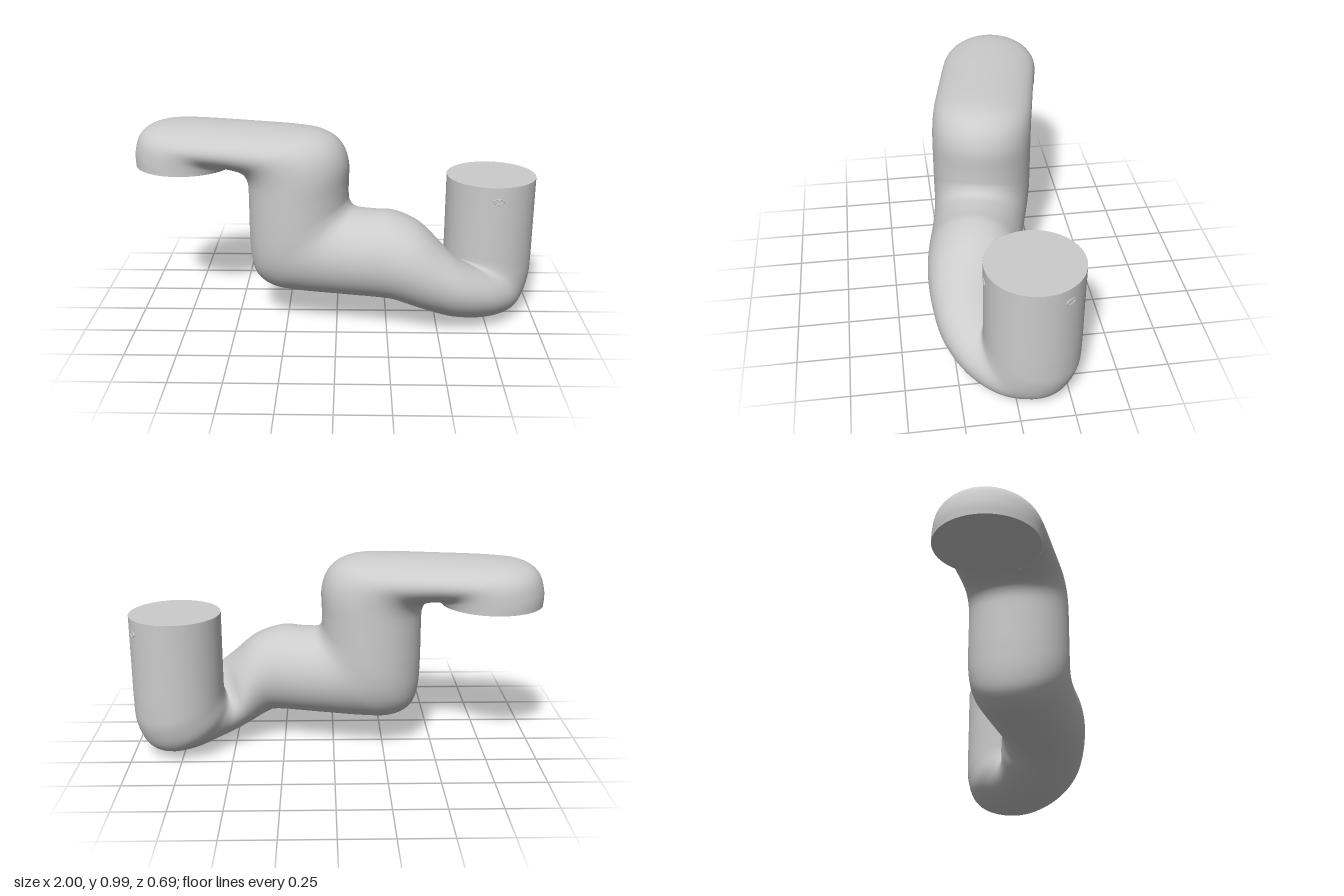
import * as THREE from 'three';

const material = new THREE.MeshStandardMaterial({ color: 0xcccccc, side: THREE.DoubleSide });

// Upper arm, column and lower elbow all lie in one upright plane through the column axis.
const AXIS = { x: -0.19, z: 0.02 }, HEADING = 0.207;
// outer distance, outer y, inner distance, inner y, half width
const armStations = [
  [-0.83, 0.77, -0.34, 0.77, 0.245],
  [-0.83, 0.84, -0.335, 0.772, 0.245],
  [-0.80, 0.925, -0.33, 0.775, 0.245],
  [-0.72, 0.975, -0.325, 0.775, 0.245],
  [-0.58, 0.99, -0.32, 0.775, 0.245],
  [-0.30, 0.99, -0.30, 0.77, 0.245],
  [0.0, 0.985, -0.275, 0.757, 0.246],
  [0.13, 0.965, -0.26, 0.738, 0.246],
  [0.21, 0.91, -0.25, 0.71, 0.246],
  [0.247, 0.82, -0.247, 0.67, 0.246],
  [0.247, 0.71, -0.247, 0.57, 0.246],
  [0.247, 0.66, -0.247, 0.44, 0.246],
  [0.25, 0.63, -0.24, 0.31, 0.245],
  [0.265, 0.603, -0.21, 0.22, 0.241],
  [0.29, 0.59, -0.13, 0.165, 0.236],
  [0.33, 0.587, 0.0, 0.15, 0.23],
  [0.38, 0.587, 0.25, 0.15, 0.225],
];
// Descending, turning tube: top point, bottom point, heading, half width
const bendStations = [
  [0.27, 0.587, 0.117, 0.27, 0.15, 0.117, 0.2, 0.222],
  [0.40, 0.535, 0.135, 0.34, 0.13, 0.12, 0.08, 0.222],
  [0.51, 0.435, 0.127, 0.42, 0.095, 0.115, -0.13, 0.222],
  [0.57, 0.37, 0.11, 0.54, 0.048, 0.1, -0.4, 0.222],
  [0.605, 0.335, 0.085, 0.68, 0.014, 0.04, -0.65, 0.222],
  [0.613, 0.325, 0.075, 0.80, 0.004, -0.07, -0.76, 0.222],
  [0.613, 0.33, 0.072, 0.88, 0.05, -0.19, -0.785, 0.222],
  [0.613, 0.345, 0.072, 0.92, 0.16, -0.235, -0.785, 0.222],
  [0.613, 0.38, 0.072, 0.927, 0.28, -0.242, -0.785, 0.222],
  [0.613, 0.50, 0.072, 0.927, 0.46, -0.242, -0.785, 0.222],
  [0.613, 0.72, 0.072, 0.927, 0.72, -0.242, -0.785, 0.222],
];

function allStations() {
  const place = (s, y) => [AXIS.x + s * Math.cos(HEADING), y, AXIS.z + s * Math.sin(HEADING)];
  return armStations
    .map(([sp, yp, sq, yq, w]) => [...place(sp, yp), ...place(sq, yq), HEADING, w])
    .concat(bendStations);
}

// Catmull-Rom blend of every value of a station
function blend(list, i, t) {
  const at = (k) => list[Math.min(Math.max(k, 0), list.length - 1)];
  const [a, b, c, d] = [at(i - 1), at(i), at(i + 1), at(i + 2)];
  return b.map((v, k) => v + 0.5 * t * (c[k] - a[k] +
    t * (2 * a[k] - 5 * v + 4 * c[k] - d[k] + t * (3 * (v - c[k]) + d[k] - a[k]))));
}

// Oval rings spanning each pair of opposite points, skinned into a smooth tube
function pipeGeometry(sides = 64, steps = 5) {
  const list = allStations(), positions = [], index = [];
  const rings = (list.length - 1) * steps;
  for (let r = 0; r <= rings; r++) {
    const i = Math.min(Math.floor(r / steps), list.length - 2);
    const [px, py, pz, qx, qy, qz, heading, w] = blend(list, i, r / steps - i);
    const p = new THREE.Vector3(px, py, pz), q = new THREE.Vector3(qx, qy, qz);
    const centre = p.clone().add(q).multiplyScalar(0.5);
    const radial = p.sub(centre);
    const side = new THREE.Vector3(-Math.sin(heading), 0, Math.cos(heading));
    for (let j = 0; j < sides; j++) {
      const angle = (j / sides) * Math.PI * 2;
      const v = centre.clone().addScaledVector(radial, Math.cos(angle))
        .addScaledVector(side, w * Math.sin(angle));
      positions.push(v.x, v.y, v.z);
      if (r === rings) continue;
      const a = r * sides + j, b = r * sides + (j + 1) % sides;
      index.push(a, b, b + sides, a, b + sides, a + sides);
    }
  }
  const geometry = new THREE.BufferGeometry();
  geometry.setAttribute('position', new THREE.Float32BufferAttribute(positions, 3));
  geometry.setIndex(index);
  geometry.computeVertexNormals();
  return geometry;
}

export function createModel() {
  const group = new THREE.Group();
  group.name = 'bentPipe';
  const add = (name, geometry) => {
    const mesh = new THREE.Mesh(geometry, material);
    mesh.name = name;
    group.add(mesh);
    return mesh;
  };

  add('pipeBody', pipeGeometry());

  // Flat end faces
  const lower = add('armEndFace', new THREE.CircleGeometry(0.245, 64));
  lower.rotation.x = Math.PI / 2;
  lower.position.set(AXIS.x - 0.585 * Math.cos(HEADING), 0.77, AXIS.z - 0.585 * Math.sin(HEADING));
  const upper = add('columnEndFace', new THREE.CircleGeometry(0.222, 64));
  upper.rotation.x = -Math.PI / 2;
  upper.position.set(0.77, 0.72, -0.085);

  // Small oval pin marks near the top of the short column
  for (const angle of [0.05, 2.14]) {
    const mark = add('pinMark', new THREE.TorusGeometry(0.024, 0.005, 8, 24));
    mark.scale.y = 0.55;
    mark.rotation.y = angle;
    mark.position.set(0.77 + 0.22 * Math.sin(angle), 0.65, -0.085 + 0.22 * Math.cos(angle));
  }
  return group;
}
